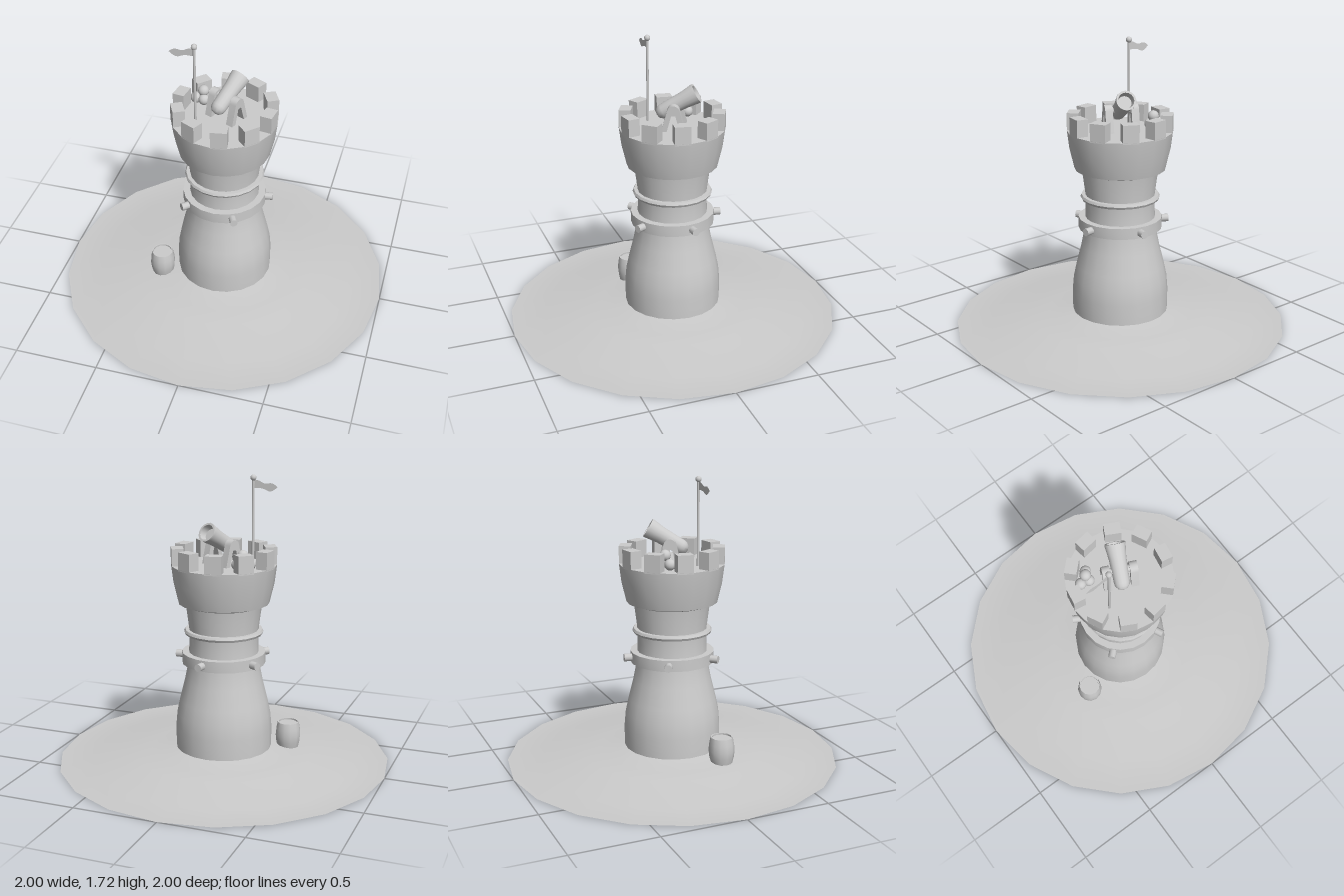
import * as THREE from 'three';
import { toCreasedNormals } from 'three/addons/utils/BufferGeometryUtils.js';

const mat = new THREE.MeshStandardMaterial({ color: 0xcccccc });
const matDouble = new THREE.MeshStandardMaterial({ color: 0xcccccc, side: THREE.DoubleSide });

function add(parent, name, geometry, x = 0, y = 0, z = 0, material = mat) {
  const mesh = new THREE.Mesh(geometry, material);
  mesh.name = name;
  mesh.position.set(x, y, z);
  parent.add(mesh);
  return mesh;
}

// Revolved profile of [radius, height] pairs; sharp corners stay sharp.
function lathe(points, segments = 20, crease = 0.6) {
  const profile = points.map(([r, y]) => new THREE.Vector2(r, y));
  return toCreasedNormals(new THREE.LatheGeometry(profile, segments), crease);
}

export function createModel() {
  const model = new THREE.Group();

  // Ground mound, open underneath
  add(model, 'ground', lathe([[1, 0], [0.8, 0], [0.55, 0.055], [0.44, 0.058], [0.285, 0.08]]),
    0, 0, 0, matDouble);

  // Tower: hollow foot, tapering shaft, flared crown and closed deck
  add(model, 'tower', lathe([
    [0.288, 0], [0.29, 0.2], [0.282, 0.29], [0.265, 0.37], [0.235, 0.49], [0.213, 0.6],
    [0.206, 0.72], [0.208, 0.82], [0.226, 0.957], [0.27, 0.972], [0.298, 1.09],
    [0.312, 1.2], [0, 1.2],
  ]), 0, 0, 0, matDouble);
  const floor = add(model, 'towerFloor', new THREE.CircleGeometry(0.287, 20), 0, 0.08, 0, matDouble);
  floor.rotation.x = Math.PI / 2;

  // Bands around the shaft
  add(model, 'wideBand', lathe([[0.2, 0.605], [0.25, 0.605], [0.25, 0.672], [0.2, 0.672]]));
  add(model, 'thinBand', lathe([[0.2, 0.783], [0.23, 0.783], [0.237, 0.797], [0.23, 0.811], [0.2, 0.811]]));

  // Pegs on the wide band
  for (let i = 0; i < 5; i++) {
    const a = THREE.MathUtils.degToRad(-8 + 72 * i);
    const peg = add(model, 'peg', new THREE.CylinderGeometry(0.023, 0.023, 0.08, 10),
      0.253 * Math.cos(a), 0.638, 0.253 * Math.sin(a));
    peg.quaternion.setFromUnitVectors(new THREE.Vector3(0, 1, 0),
      new THREE.Vector3(Math.cos(a), 0, Math.sin(a)));
  }

  // Battlements on every second side of the crown
  for (let i = 0; i < 10; i++) {
    const a = THREE.MathUtils.degToRad(9 + 36 * i);
    const merlon = add(model, 'merlon', new THREE.BoxGeometry(0.07, 0.11, 0.095),
      0.273 * Math.cos(a), 1.247, 0.273 * Math.sin(a));
    merlon.rotation.y = -a;
  }

  // Barrel beside the tower, with a recessed lid
  add(model, 'barrel', lathe([
    [0, 0], [0.064, 0], [0.073, 0.04], [0.077, 0.08], [0.073, 0.12], [0.065, 0.16],
    [0.058, 0.16], [0.058, 0.15], [0, 0.15],
  ], 12), -0.36, 0.055, 0.16);

  // Flagpole and pennant
  const flag = new THREE.Group();
  flag.name = 'flag';
  flag.position.set(-0.145, 1.2, 0.1);
  model.add(flag);
  add(flag, 'pole', new THREE.CylinderGeometry(0.008, 0.008, 0.5, 8), 0, 0.25, 0);
  add(flag, 'poleBall', new THREE.SphereGeometry(0.018, 12, 8), 0, 0.5, 0);
  const pennant = new THREE.Shape();
  pennant.moveTo(0, 0.488);
  pennant.bezierCurveTo(-0.05, 0.49, -0.05, 0.465, -0.08, 0.468);
  pennant.bezierCurveTo(-0.11, 0.475, -0.12, 0.475, -0.147, 0.45);
  pennant.bezierCurveTo(-0.12, 0.43, -0.11, 0.415, -0.08, 0.43);
  pennant.bezierCurveTo(-0.05, 0.445, -0.04, 0.44, 0, 0.44);
  add(flag, 'pennant', new THREE.ShapeGeometry(pennant, 6), 0, 0, 0, matDouble);

  // Pile of round shot
  for (const [x, y, z] of [[-0.2, 1.233, -0.1], [-0.15, 1.233, -0.09],
    [-0.135, 1.233, -0.145], [-0.158, 1.28, -0.112]]) {
    add(model, 'shot', new THREE.SphereGeometry(0.033, 14, 10), x, y, z);
  }

  // Cannon: local +x is the direction of aim, local z runs across the carriage
  const cannon = new THREE.Group();
  cannon.name = 'cannon';
  cannon.position.set(0, 1.2, 0);
  cannon.rotation.y = Math.atan2(0.91, 0.41);
  model.add(cannon);

  const gun = add(cannon, 'gunBarrel', lathe([
    [0, -0.045], [0.025, -0.037], [0.041, -0.018], [0.045, 0], [0.047, 0.07],
    [0.05, 0.14], [0.059, 0.21], [0.059, 0.222], [0.047, 0.222], [0.04, 0.18], [0, 0.18],
  ], 16), -0.052, 0.093, 0);
  gun.rotation.z = -Math.PI / 2 + 0.53;

  const trunnion = add(cannon, 'trunnion', new THREE.CylinderGeometry(0.02, 0.02, 0.19, 12), 0.012, 0.122, 0);
  trunnion.rotation.x = Math.PI / 2;

  // Carriage cheeks: arches with splayed legs
  const cheek = new THREE.Shape();
  cheek.moveTo(-0.068, 0);
  cheek.lineTo(-0.036, 0.125);
  cheek.bezierCurveTo(-0.028, 0.165, 0.028, 0.165, 0.036, 0.125);
  cheek.lineTo(0.068, 0);
  cheek.lineTo(0.038, 0);
  cheek.lineTo(0.012, 0.095);
  cheek.lineTo(-0.012, 0.095);
  cheek.lineTo(-0.038, 0);
  const cheekGeo = toCreasedNormals(
    new THREE.ExtrudeGeometry(cheek, { depth: 0.045, bevelEnabled: false, curveSegments: 8 }), 0.6);
  for (const side of [-1, 1]) {
    add(cannon, 'carriageCheek', cheekGeo, 0.012, 0, side * 0.078 - 0.0225);
  }

  return model;
}
